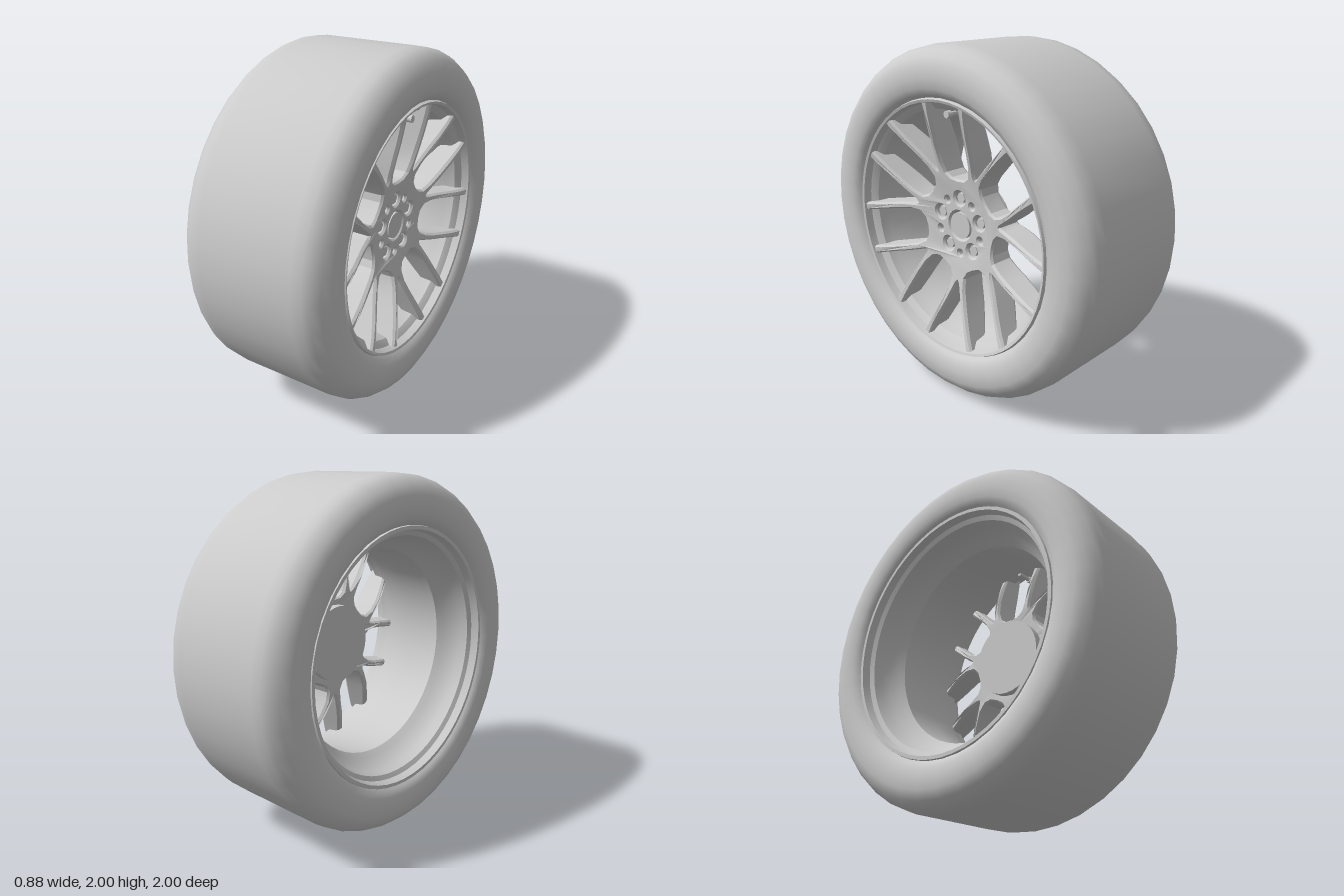
import * as THREE from 'three';
import { toCreasedNormals } from 'three/addons/utils/BufferGeometryUtils.js';

const mat = new THREE.MeshStandardMaterial({ color: 0xcccccc, side: THREE.DoubleSide });

export function createModel() {
  const wheel = new THREE.Group();
  wheel.name = 'wheel';
  wheel.position.y = 1;

  const add = (name, geometry) => {
    const mesh = new THREE.Mesh(geometry, mat);
    mesh.name = name;
    wheel.add(mesh);
    return mesh;
  };
  // Revolve [radius, x] points around the axle (x axis)
  const revolve = (name, profile, segments, crease) => {
    const points = profile.map(([r, x]) => new THREE.Vector2(r, x));
    const geometry = new THREE.LatheGeometry(points, segments).rotateZ(-Math.PI / 2);
    return add(name, toCreasedNormals(geometry, crease));
  };
  // Cylinder along the axle between x0 and x1, at a radius and angle on the face
  const peg = (name, r, x0, x1, sides, dist = 0, angle = 0) => {
    const geometry = new THREE.CylinderGeometry(r, r, x1 - x0, sides).rotateZ(-Math.PI / 2);
    const mesh = add(name, toCreasedNormals(geometry, 0.7));
    mesh.position.set((x0 + x1) / 2, dist * Math.sin(angle), -dist * Math.cos(angle));
    return mesh;
  };

  // Tyre: half profile from the bead to the tread, then mirrored
  const half = [[0.725, 0.385], [0.745, 0.415], [0.78, 0.435], [0.83, 0.44], [0.89, 0.44],
    [0.94, 0.415], [0.975, 0.375], [0.993, 0.34], [1, 0.28]];
  const otherHalf = half.map(([r, x]) => [r, -x]).reverse();
  revolve('tyre', [...half, ...otherHalf], 40, 0.9);

  // Rim: front lip, barrel with drop centre, rear lip
  revolve('rim', [[0.73, 0.39], [0.722, 0.41], [0.708, 0.405], [0.7, 0.36], [0.68, 0.345],
    [0.665, 0.33], [0.655, 0.27], [0.63, 0.2], [0.615, 0.05], [0.6, -0.12], [0.59, -0.18],
    [0.615, -0.21], [0.645, -0.25], [0.665, -0.3], [0.675, -0.35], [0.70, -0.365],
    [0.71, -0.41], [0.73, -0.41], [0.735, -0.385]], 56, 0.5);

  // Spoke outline: seven forked spokes; edges as [along, across] in local frames
  const outer = [[0.275, 0.05], [0.3, 0.085], [0.36, 0.105], [0.45, 0.112],
    [0.55, 0.114], [0.64, 0.115], [0.712, 0.115]];
  const inner = [[0.7, 0.155], [0.63, 0.128], [0.55, 0.095], [0.45, 0.05],
    [0.38, 0.022], [0.345, 0.009]];
  const place = (angle, [u, v], side = 1) => new THREE.Vector2(
    u * Math.cos(angle) - side * v * Math.sin(angle),
    u * Math.sin(angle) + side * v * Math.cos(angle));
  const outline = [];
  for (let k = 0; k < 7; k++) {
    const a = -Math.PI / 2 + k * Math.PI * 2 / 7;
    const before = a - Math.PI / 7, after = a + Math.PI / 7;
    outline.push(place(before, [0.27, 0]));
    outer.forEach(p => outline.push(place(before, p)));
    inner.forEach(p => outline.push(place(a, p, -1)));
    outline.push(place(a, [0.335, 0]));
    [...inner].reverse().forEach(p => outline.push(place(a, p)));
    [...outer].reverse().forEach(p => outline.push(place(after, p, -1)));
  }
  const face = new THREE.Shape(outline);
  const addHole = (r, dist = 0, angle = 0) => face.holes.push(new THREE.Path().absarc(
    dist * Math.cos(angle), dist * Math.sin(angle), r, 0, Math.PI * 2, true));

  // Centre bore, bolt holes and small holes
  const boltAngles = [0, 1, 2, 3, 4].map(k => Math.PI / 2 + k * Math.PI * 2 / 5);
  addHole(0.084);
  boltAngles.forEach(a => {
    addHole(0.04, 0.16, a);
    addHole(0.018, 0.165, a + Math.PI / 5);
  });

  // Extrude the face, then dish it: x of front and back depends on the radius
  const spokes = new THREE.ExtrudeGeometry(face, { depth: 0.8, bevelThickness: 0.1,
    bevelSize: 0.01, bevelOffset: -0.01, bevelSegments: 1, curveSegments: 10 });
  const pos = spokes.attributes.position;
  for (let i = 0; i < pos.count; i++) {
    const r = Math.hypot(pos.getX(i), pos.getY(i));
    const t = THREE.MathUtils.clamp((r - 0.18) / 0.54, 0, 1);
    const front = 0.275 + 0.12 * THREE.MathUtils.lerp(t, t * t * (3 - 2 * t), 0.5);
    const depth = 0.12 + 0.05 * Math.sin(Math.PI * t);
    pos.setZ(i, front - depth * (0.9 - pos.getZ(i)));
  }
  spokes.rotateY(Math.PI / 2);
  add('spokes', toCreasedNormals(spokes, 0.5));

  // Hub parts
  peg('hubPlate', 0.23, 0.1, 0.2, 32);
  peg('centreCap', 0.076, 0.18, 0.272, 28);
  boltAngles.forEach(a => peg('wheelNut', 0.031, 0.19, 0.262, 6, 0.16, a));

  // Valve stem
  peg('valveStem', 0.013, 0.24, 0.34, 10, 0.64, Math.PI / 2);
  peg('valveCap', 0.02, 0.33, 0.36, 10, 0.64, Math.PI / 2);

  const model = new THREE.Group();
  model.add(wheel);
  return model;
}
